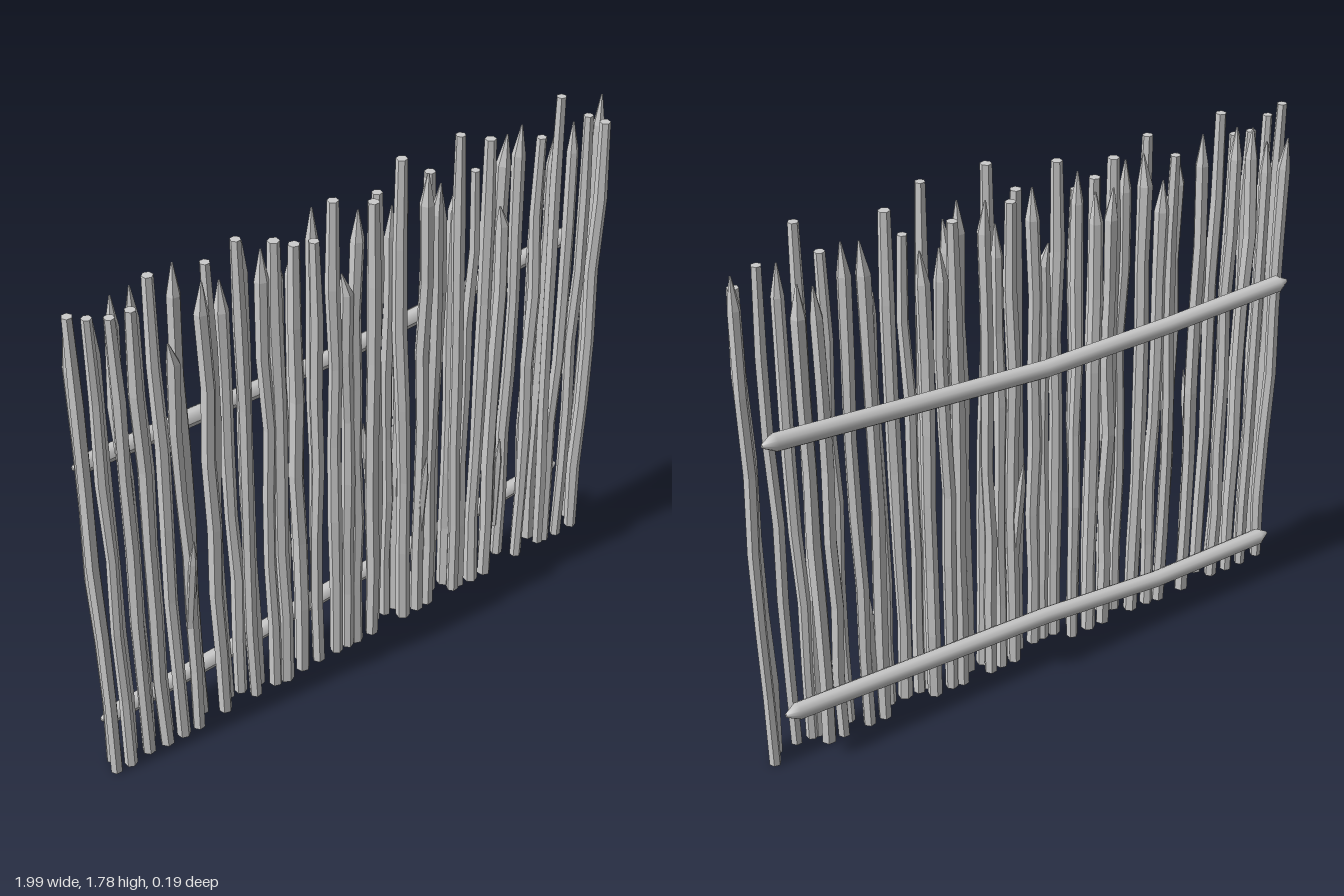
import * as THREE from 'three';

const wood = new THREE.MeshStandardMaterial({ color: 0xcccccc, flatShading: true });
const smoothWood = new THREE.MeshStandardMaterial({ color: 0xcccccc });

const FRONT = 0.032;
const BACK = -0.014;

// Small seeded generator for natural irregularity
let seed = 7;
function rnd(a, b) {
  seed = (seed * 16807) % 2147483647;
  return a + (b - a) * (seed / 2147483647);
}

// Upright pole whose cross-sections are rows of [x, y, z, radius]
function pole(rows, sides, turn = 0) {
  const n = rows.length - 1;
  const g = new THREE.CylinderGeometry(1, 1, n, sides, n, false, turn);
  const p = g.attributes.position;
  for (let i = 0; i < p.count; i++) {
    const [x, y, z, r] = rows[Math.round(p.getY(i) + n / 2)];
    p.setXYZ(i, x + p.getX(i) * r, y, z + p.getZ(i) * r);
  }
  g.computeVertexNormals();
  return g;
}

// Slightly crooked stake with a sawn, pointed or slanted top
function stakeGeometry(x, h, z, cut, lean) {
  const r = rnd(0.019, 0.023);
  const body = h - { sawn: 0, pointed: 0.1, slanted: 0.07 }[cut];
  const rows = [];
  for (let i = 0; i <= 6; i++) {
    const t = i / 6;
    const wob = i % 6 ? 0.007 : 0.003;
    const thin = i === 6 && cut === 'sawn' ? 0.8 : rnd(0.95, 1.1);
    rows.push([x - lean * t + rnd(-wob, wob), body * t, z + rnd(-wob, wob) * 0.8, r * thin]);
  }
  if (cut !== 'sawn') {
    const skew = cut === 'slanted' ? -0.014 : rnd(-0.004, 0.008);
    rows.push([x + skew, h, z + rnd(-0.006, 0.006), 0.003]);
  }
  return pole(rows, 6, rnd(0, 1));
}

// Kinds of stake and where along the fence each one stands
const stakeKinds = [
  { cut: 'sawn', h: 1.715, z: FRONT, xs: [-0.97, -0.72, -0.435, -0.105, 0.475] },
  { cut: 'sawn', h: 1.67, z: FRONT, xs: [-0.915, -0.315, 0.04, 0.685, 0.875] },
  { cut: 'sawn', h: 1.67, z: BACK, xs: [-0.51, 0.085, 0.285] },
  { cut: 'sawn', h: 1.63, z: FRONT, xs: [-0.84, -0.78, -0.245, -0.175, 0.425, 0.945] },
  { cut: 'sawn', h: 1.77, z: FRONT, lean: 0.04, xs: [0.175, 0.395, 0.795] },
  { cut: 'pointed', h: 1.685, z: BACK, xs: [-0.815, -0.75, -0.615, -0.4, -0.15, 0.18, 0.58, 0.64, 0.973] },
  { cut: 'pointed', h: 1.68, z: FRONT, xs: [-0.355, -0.02, 0.235, 0.82] },
  { cut: 'pointed', h: 1.6, z: BACK, xs: [-0.953, -0.875, -0.465, -0.275, -0.22, 0.135, 0.325, 0.39, 0.73, 0.785] },
  { cut: 'pointed', h: 1.63, z: FRONT, xs: [-0.555, 0.28] },
  { cut: 'slanted', h: 1.485, z: FRONT, xs: [-0.66, -0.06, 0.535] },
];

// Broken twigs growing out of stakes: [x, z, tip height, outward reach]
const twigs = [
  [-0.665, FRONT, 0.81, 0.055],
  [0.235, FRONT, 0.67, 0.035],
  [0.615, BACK, 0.52, 0.01],
  [0.08, BACK, 0.8, -0.052],
];

// Cross rails: heights at evenly spread stations from -x to +x
const rails = {
  upperRail: [1.125, 1.115, 1.11, 1.14, 1.18],
  lowerRail: [0.125, 0.135, 0.175, 0.19, 0.215],
};

export function createModel() {
  const fence = new THREE.Group();
  fence.name = 'palisadeFence';

  const add = (name, geometry, material) => {
    const mesh = new THREE.Mesh(geometry, material);
    mesh.name = name;
    fence.add(mesh);
    return mesh;
  };

  for (const { cut, h, z, lean = 0, xs } of stakeKinds) {
    for (const x of xs) {
      const height = h + rnd(-0.015, 0.015);
      add('stake', stakeGeometry(x, height, z + rnd(-0.004, 0.004), cut, lean), wood);
    }
  }

  for (const [x, z, tip, reach] of twigs) {
    const rows = [0, 0.35, 0.75, 1].map((t) => [
      x, tip - 0.38 * (1 - t), z + reach * t, t === 1 ? 0.002 : 0.014]);
    add('twig', pole(rows, 5), wood);
  }

  // Rails are modelled upright and laid along x; their ends are cut to blunt points
  for (const [name, heights] of Object.entries(rails)) {
    const last = heights.length - 1;
    const rows = heights.map((y, i) => [
      -y, -0.91 + (1.82 * i) / last, -0.067 - 0.005 * Math.sin(i * 1.6), 0.028]);
    rows.unshift([-heights[0], -0.95, -0.067, 0.006]);
    rows.push([-heights[last], 0.95, -0.067, 0.006]);
    add(name, pole(rows, 10), smoothWood).rotation.z = -Math.PI / 2;
  }
  return fence;
}
